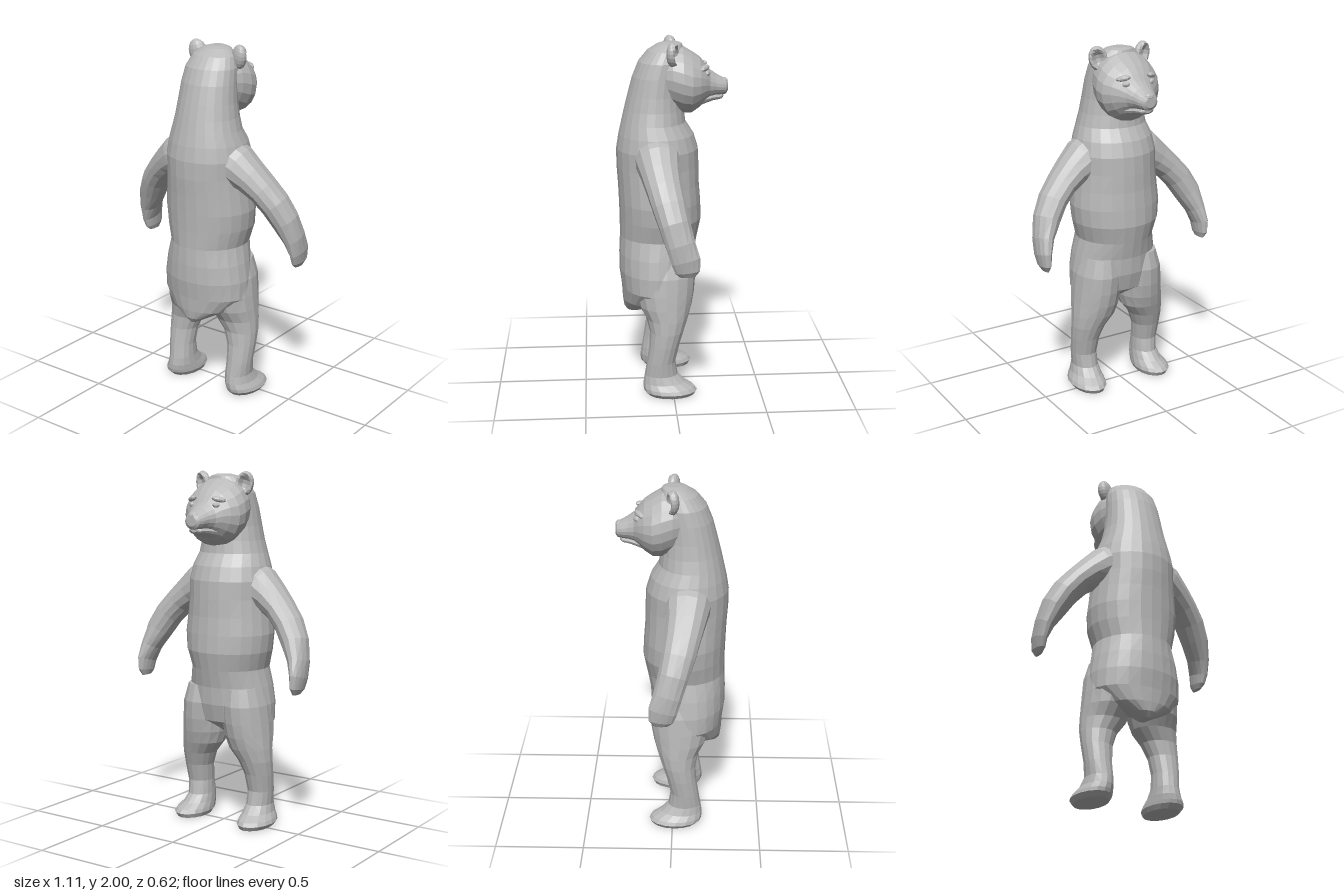
import * as THREE from 'three';

const fur = new THREE.MeshStandardMaterial({ color: 0xb8b8b8 });
fur.name = 'grey fur';

// Closed skin through elliptical rings: { c: centre, u, v: half axes }
function loft(rings, sides = 20) {
  const pos = [], idx = [];
  for (const { c, u, v } of rings) {
    for (let i = 0; i < sides; i++) {
      const a = (i / sides) * Math.PI * 2;
      const p = c.clone().addScaledVector(u, Math.cos(a)).addScaledVector(v, Math.sin(a));
      pos.push(p.x, p.y, p.z);
    }
  }
  const last = rings.length - 1, caps = pos.length / 3;
  for (const k of [0, last]) pos.push(...rings[k].c.toArray());
  for (let r = 0; r < last; r++) {
    for (let i = 0; i < sides; i++) {
      const a = r * sides + i, b = r * sides + (i + 1) % sides;
      idx.push(a, b, a + sides, b, b + sides, a + sides);
    }
  }
  for (let i = 0; i < sides; i++) {
    const j = (i + 1) % sides;
    idx.push(caps, j, i, caps + 1, last * sides + i, last * sides + j);
  }
  // Signed volume decides which way the faces must turn
  const P = (i) => new THREE.Vector3().fromArray(pos, i * 3);
  let volume = 0;
  for (let i = 0; i < idx.length; i += 3) volume += P(idx[i]).dot(P(idx[i + 1]).cross(P(idx[i + 2])));
  if (volume < 0) idx.reverse();
  const g = new THREE.BufferGeometry();
  g.setAttribute('position', new THREE.Float32BufferAttribute(pos, 3));
  g.setIndex(idx);
  return g;
}

// Flat facets
function part(name, geometry) {
  const g = geometry.index ? geometry.toNonIndexed() : geometry;
  g.computeVertexNormals();
  const m = new THREE.Mesh(g, fur);
  m.name = name;
  return m;
}

const V = (x, y, z) => new THREE.Vector3(x, y, z);

// Rings stacked upward: [y, xMin, xMax, zBack, zFront]
const upright = (rows) => rows.map(([y, x0, x1, z0, z1]) => ({
  c: V((x0 + x1) / 2, y, (z0 + z1) / 2), u: V((x1 - x0) / 2, 0, 0), v: V(0, 0, (z0 - z1) / 2),
}));

// Rings running forward: [z, halfWidth, yTop, yBottom]
const forward = (rows) => rows.map(([z, w, y1, y0]) => ({
  c: V(0, (y0 + y1) / 2, z), u: V(w, 0, 0), v: V(0, (y1 - y0) / 2, 0),
}));

// Limb in the side plane: [x, y, z, thickness, depth]
function limb(rows) {
  const pts = rows.map(([x, y, z]) => V(x, y, z));
  return rows.map(([, , , a, b], i) => {
    const t = pts[Math.min(i + 1, pts.length - 1)].clone().sub(pts[Math.max(i - 1, 0)]).normalize();
    const u = V(-t.y, t.x, 0).normalize();
    const v = u.clone().cross(t).normalize();
    return { c: pts[i], u: u.multiplyScalar(a), v: v.multiplyScalar(b) };
  });
}

export function createModel() {
  const bear = new THREE.Group();
  bear.name = 'standingBear';

  // Trunk from the pointed rump to the back of the skull: [y, halfWidth, zBack, zFront]
  const trunk = [
    [0.44, 0.025, 0.25, 0.16], [0.47, 0.08, 0.27, 0.12], [0.52, 0.18, 0.277, 0.02],
    [0.6, 0.262, 0.282, -0.1], [0.7, 0.262, 0.295, -0.125], [0.8, 0.245, 0.295, -0.13],
    [0.9, 0.222, 0.29, -0.15], [1.0, 0.25, 0.29, -0.17], [1.1, 0.26, 0.293, -0.165],
    [1.2, 0.25, 0.297, -0.157], [1.3, 0.24, 0.304, -0.155], [1.4, 0.242, 0.305, -0.15],
    [1.48, 0.225, 0.292, -0.125], [1.55, 0.2, 0.276, -0.08], [1.62, 0.182, 0.26, -0.07],
    [1.7, 0.17, 0.24, -0.06], [1.8, 0.16, 0.213, -0.06], [1.88, 0.15, 0.18, -0.07],
    [1.94, 0.125, 0.13, -0.07], [1.975, 0.08, 0.075, -0.06], [1.985, 0.04, 0.04, -0.04],
  ];
  bear.add(part('trunk', loft(upright(trunk.map(([y, w, b, f]) => [y, -w, w, b, f])), 24)));

  // Head with brow and tapering muzzle
  bear.add(part('head', loft(forward([
    [0.08, 0.13, 1.93, 1.68], [0.0, 0.172, 1.975, 1.62], [-0.06, 0.186, 1.965, 1.595],
    [-0.11, 0.18, 1.935, 1.595], [-0.155, 0.152, 1.905, 1.625], [-0.185, 0.122, 1.87, 1.655],
    [-0.21, 0.092, 1.835, 1.672], [-0.245, 0.073, 1.81, 1.685], [-0.28, 0.06, 1.79, 1.69],
    [-0.302, 0.048, 1.78, 1.695], [-0.312, 0.03, 1.765, 1.71],
  ]))));
  bear.add(part('lowerJaw', loft(forward([
    [-0.1, 0.12, 1.7, 1.6], [-0.17, 0.085, 1.71, 1.64], [-0.23, 0.06, 1.71, 1.66],
    [-0.275, 0.042, 1.705, 1.668], [-0.288, 0.02, 1.7, 1.678],
  ]), 14)));
  const nose = new THREE.SphereGeometry(1, 10, 6).scale(0.036, 0.022, 0.02);
  bear.add(part('nose', nose.translate(0, 1.765, -0.294)));

  for (const s of [1, -1]) {
    const side = s > 0 ? 'left' : 'right';

    // Cupped ear, hollowed on its front face
    const ear = new THREE.SphereGeometry(1, 14, 10);
    const p = ear.attributes.position;
    for (let i = 0; i < p.count; i++) {
      const r = Math.hypot(p.getX(i), p.getY(i));
      if (p.getZ(i) < 0) p.setZ(i, -0.75 * Math.sin(Math.PI * Math.min(1, r) ** 3));
    }
    ear.scale(0.052, 0.07, 0.034).rotateZ(-s * 0.25).rotateY(-s * 0.35);
    bear.add(part(side + 'Ear', ear.translate(s * 0.137, 1.932, -0.002)));

    // Eye and the ridge above it
    const eye = new THREE.SphereGeometry(1, 8, 6).scale(0.022, 0.016, 0.016).rotateY(-s * 0.6);
    bear.add(part(side + 'Eye', eye.translate(s * 0.08, 1.822, -0.193)));
    const brow = new THREE.SphereGeometry(1, 8, 6).scale(0.042, 0.016, 0.02).rotateZ(-s * 0.2).rotateY(-s * 0.6);
    bear.add(part(side + 'Brow', brow.translate(s * 0.088, 1.852, -0.177)));

    // Arm hanging outward, ending in a flat paw
    bear.add(part(side + 'Arm', loft(limb([
      [0.1, 1.4, 0.09, 0.13, 0.13], [0.2, 1.355, 0.08, 0.12, 0.125], [0.275, 1.305, 0.07, 0.095, 0.11],
      [0.345, 1.245, 0.055, 0.082, 0.1], [0.41, 1.17, 0.035, 0.08, 0.093], [0.462, 1.08, 0.01, 0.075, 0.085],
      [0.502, 0.98, -0.02, 0.052, 0.08], [0.518, 0.9, -0.045, 0.035, 0.08],
      [0.516, 0.84, -0.055, 0.026, 0.068], [0.512, 0.81, -0.055, 0.012, 0.04],
    ].map(([x, ...rest]) => [s * x, ...rest])), 14)));

    // Leg and foot
    bear.add(part(side + 'Leg', loft(upright([
      [0.0, 0.13, 0.3, 0.14, -0.12], [0.025, 0.118, 0.318, 0.165, -0.135], [0.045, 0.12, 0.31, 0.17, -0.12],
      [0.075, 0.125, 0.288, 0.17, -0.07], [0.12, 0.13, 0.275, 0.163, -0.025], [0.2, 0.133, 0.282, 0.15, -0.012],
      [0.3, 0.122, 0.29, 0.135, -0.035], [0.38, 0.09, 0.292, 0.132, -0.062], [0.45, 0.035, 0.288, 0.15, -0.088],
      [0.52, 0.01, 0.282, 0.19, -0.108], [0.6, 0.0, 0.274, 0.21, -0.122], [0.7, 0.0, 0.262, 0.21, -0.13],
      [0.8, 0.02, 0.23, 0.18, -0.11],
    ].map(([y, a, b, ...z]) => [y, s * a, s * b, ...z])), 16)));
  }
  return bear;
}
